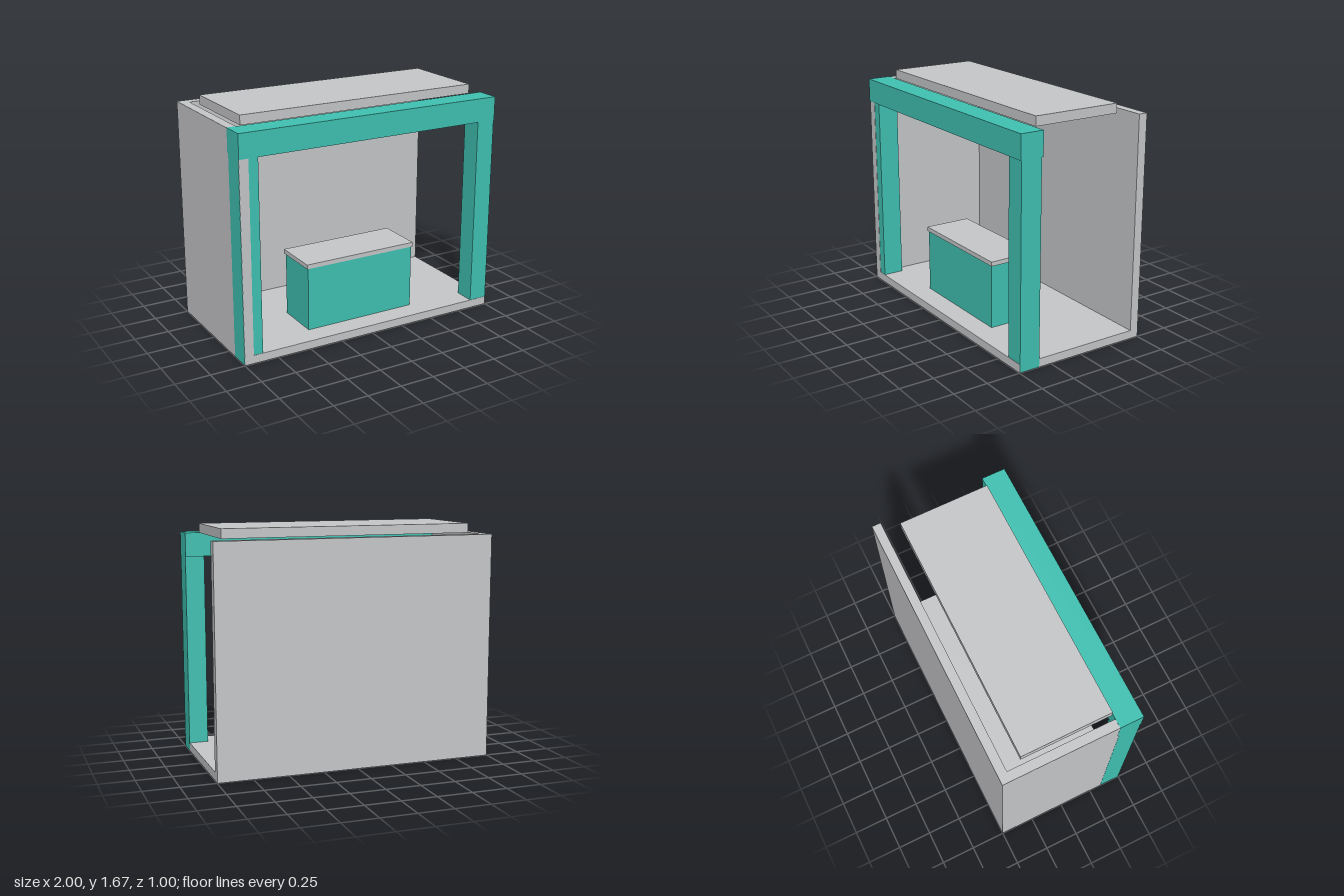
import * as THREE from 'three';

export function createModel() {
  const group = new THREE.Group();
  const grey = new THREE.MeshStandardMaterial({ color: 0xc7c8ca });
  grey.name = 'light grey';
  const teal = new THREE.MeshStandardMaterial({ color: 0x40c2b3 });
  teal.name = 'teal';

  // Box given by its extents along each axis
  function slab(name, material, [x0, x1], [y0, y1], [z0, z1]) {
    const mesh = new THREE.Mesh(new THREE.BoxGeometry(x1 - x0, y1 - y0, z1 - z0), material);
    mesh.position.set((x0 + x1) / 2, (y0 + y1) / 2, (z0 + z1) / 2);
    mesh.name = name;
    group.add(mesh);
  }

  // Booth shell: floor, back wall and one side wall; the left side stays open
  slab('floor', grey, [-0.999, 0.999], [0, 0.06], [-0.502, 0.498]);
  slab('backWall', grey, [-0.999, 0.999], [0, 1.6], [-0.502, -0.437]);
  slab('sideWall', grey, [-0.999, -0.932], [0, 1.6], [-0.502, 0.498]);

  // Front frame: two posts under a header beam
  slab('rightPost', teal, [-1, -0.863], [0.002, 1.44], [0.343, 0.496]);
  slab('leftPost', teal, [0.863, 1], [0.002, 1.44], [0.343, 0.496]);
  slab('headerBeam', teal, [-1, 1], [1.432, 1.602], [0.331, 0.502]);

  // Raised roof panel
  slab('roofPanel', grey, [-0.902, 0.902], [1.602, 1.669], [-0.328, 0.322]);

  // Counter with an overhanging top
  slab('counterBody', teal, [-0.428, 0.424], [0.002, 0.525], [0.007, 0.338]);
  slab('counterTop', grey, [-0.438, 0.434], [0.523, 0.555], [-0.004, 0.344]);

  return group;
}
